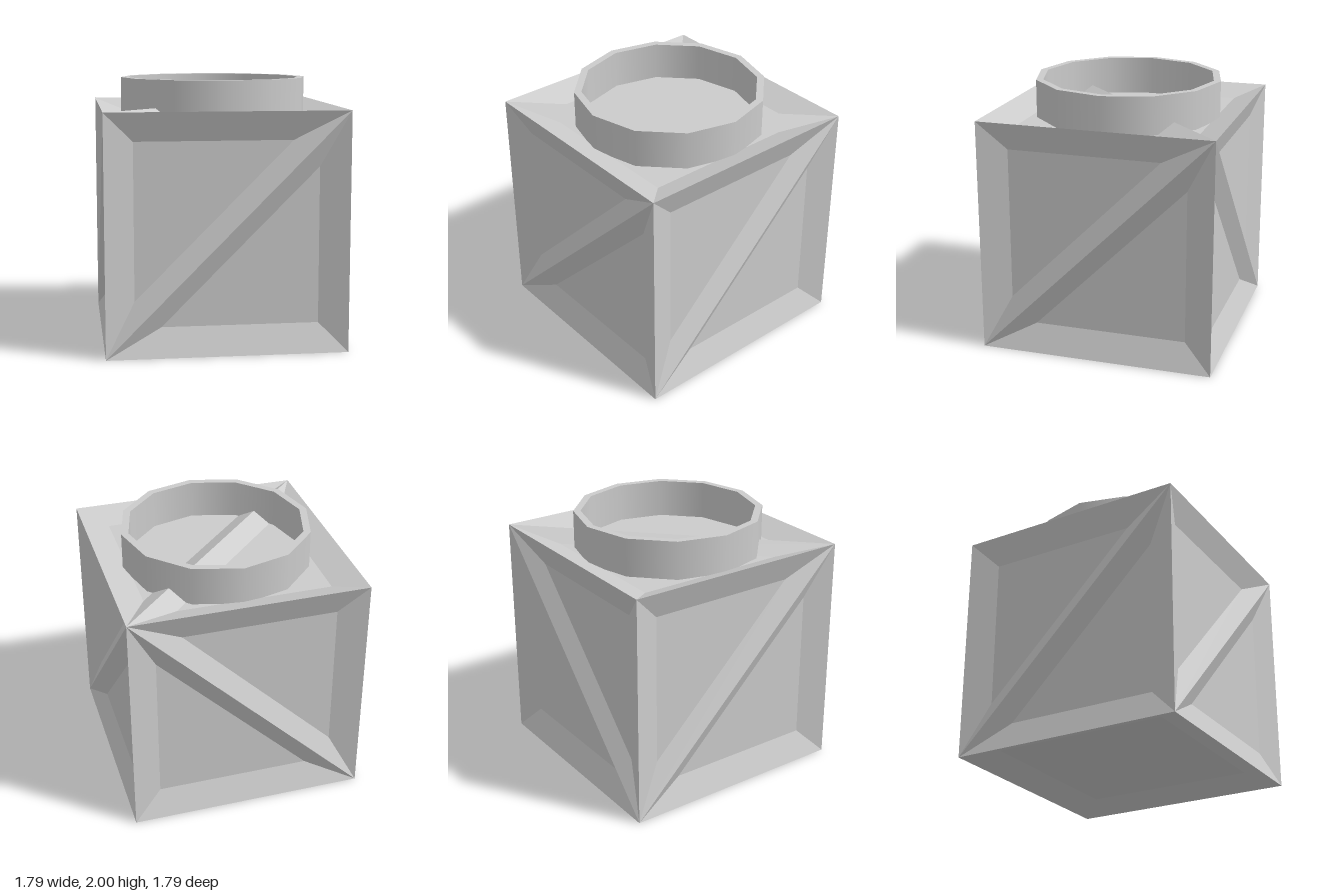
import * as THREE from 'three';

const H = 0.895;     // half size of the cube
const IN = 0.68;     // half size of the recessed panel
const DIAG = 0.485;  // where the diagonal brace meets the panel border
const DEPTH = 0.08;  // recess depth

const material = new THREE.MeshStandardMaterial({ color: 0xcccccc });

// Recessed panel: bevels run from the outer polygon down to the inner one (counter-clockwise)
function recess(outer, inner) {
  const pos = [];
  const n = outer.length;
  const o = outer.map(([x, y]) => [x, y, H]);
  const p = inner.map(([x, y]) => [x, y, H - DEPTH]);
  const tri = (a, b, c) => pos.push(...a, ...b, ...c);
  for (let i = 0; i < n; i++) {
    const j = (i + 1) % n;
    tri(o[i], o[j], p[j]);
    tri(o[i], p[j], p[i]);
  }
  for (let i = 1; i < n - 1; i++) tri(p[0], p[i], p[i + 1]);
  const g = new THREE.BufferGeometry();
  g.setAttribute('position', new THREE.Float32BufferAttribute(pos, 3));
  g.computeVertexNormals();
  return g;
}

const square = (s) => [[-s, -s], [s, -s], [s, s], [-s, s]];

function createFace(name, braced) {
  const face = new THREE.Group();
  face.name = name;
  const add = (g, label) => {
    const m = new THREE.Mesh(g, material);
    m.name = label;
    face.add(m);
    return m;
  };
  if (braced) {
    // Two triangular recesses leave a sharp diagonal brace between them
    const half = recess(
      [[-H, -H], [H, H], [-H, H]],
      [[-IN, -DIAG], [DIAG, IN], [-IN, IN]]
    );
    add(half, 'upperPanel');
    add(half, 'lowerPanel').rotation.z = Math.PI;
  } else {
    add(recess(square(H), square(IN)), 'panel');
  }
  return face;
}

// Twelve-sided collar, one lathe per surface so the rims stay sharp
function createCollar() {
  const collar = new THREE.Group();
  collar.name = 'collar';
  const R = 0.72, r = 0.665, y0 = 1.7, y1 = 2;
  const parts = {
    outerWall: [[R, y0], [R, y1]],
    topRim: [[R, y1], [r, y1]],
    innerWall: [[r, y1], [r, y0]],
  };
  for (const [name, profile] of Object.entries(parts)) {
    const points = profile.map(([x, y]) => new THREE.Vector2(x, y));
    const m = new THREE.Mesh(new THREE.LatheGeometry(points, 12), material);
    m.name = name;
    collar.add(m);
  }
  return collar;
}

export function createModel() {
  const model = new THREE.Group();
  model.name = 'crateWithCollar';
  const q = Math.PI / 2;
  // name, x turn, y turn, spin within the face, diagonal brace
  const faces = [
    ['frontFace', 0, 0, 0, true],
    ['plusXFace', 0, q, 0, true],
    ['backFace', 0, 2 * q, q, true],
    ['minusXFace', 0, -q, 0, true],
    ['topFace', -q, 0, 0, true],
    ['bottomFace', q, 0, 0, false],
  ];
  for (const [name, rx, ry, rz, braced] of faces) {
    const face = createFace(name, braced);
    face.rotation.set(rx, ry, rz);
    face.position.y = H;
    model.add(face);
  }
  model.add(createCollar());
  return model;
}
